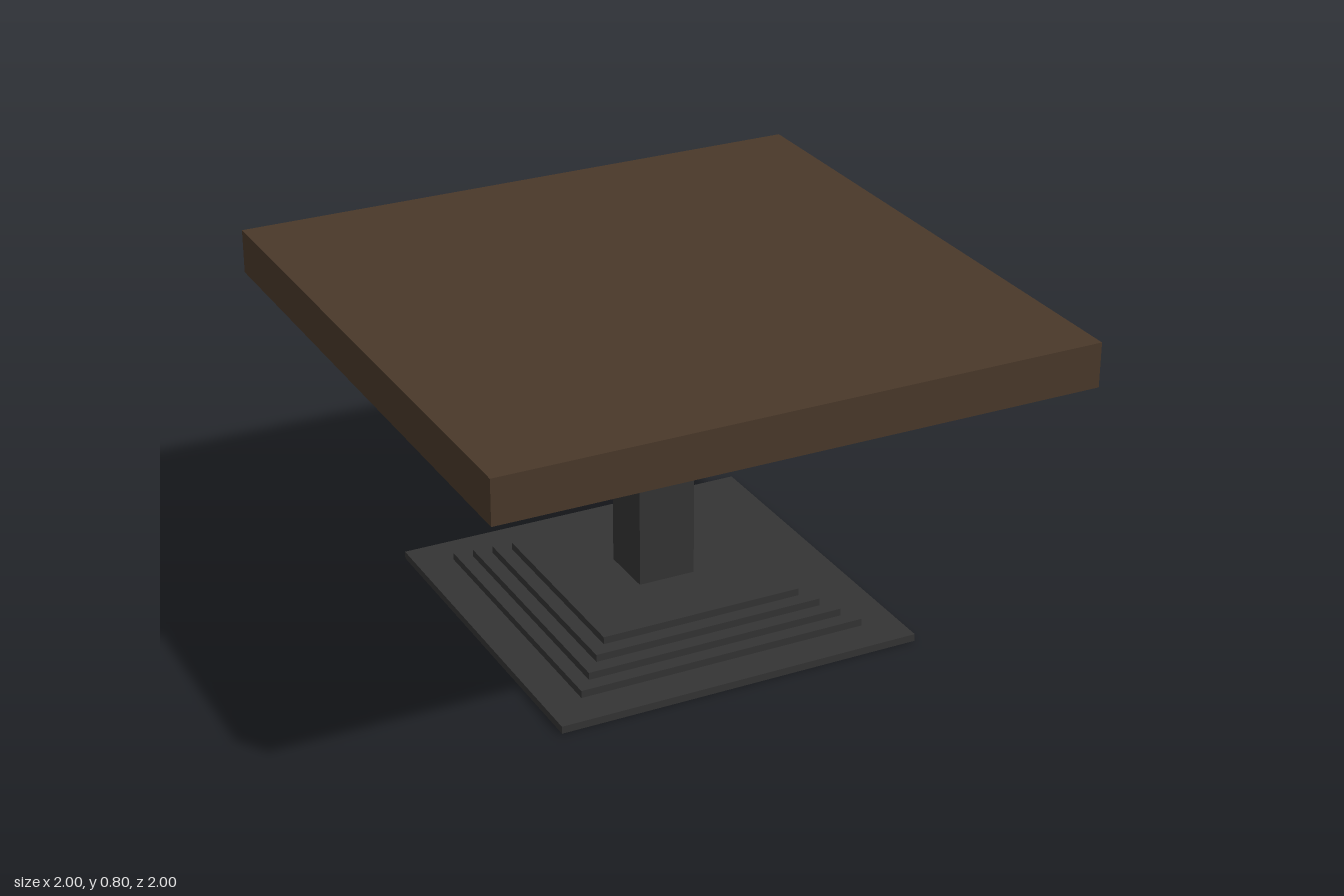
import * as THREE from 'three';

export function createModel() {
  const model = new THREE.Group();
  model.name = 'pedestalTable';

  const wood = new THREE.MeshStandardMaterial({ name: 'darkWood', color: 0x4a392a });
  const metal = new THREE.MeshStandardMaterial({ name: 'charcoalMetal', color: 0x343434 });

  // Square slab given by its half diagonal and its height range
  const slab = (name, halfDiagonal, bottom, top, material) => {
    const side = halfDiagonal * Math.SQRT2;
    const mesh = new THREE.Mesh(new THREE.BoxGeometry(side, top - bottom, side), material);
    mesh.position.y = (top + bottom) / 2;
    mesh.name = name;
    model.add(mesh);
  };

  // Stepped base: a wide foot plate and four shrinking steps
  const stepHeight = 0.0176;
  [0.625, 0.5, 0.45, 0.4, 0.35].forEach((r, i) =>
    slab(i ? `baseStep${i}` : 'footPlate', r, i * stepHeight, (i + 1) * stepHeight, metal));

  // Column and tabletop
  slab('column', 0.098, 5 * stepHeight, 0.692, metal);
  slab('tabletop', 1, 0.692, 0.797, wood);

  // The whole table stands cornerwise, slightly past the diagonal
  model.rotation.y = THREE.MathUtils.degToRad(46);
  const root = new THREE.Group();
  root.name = 'table';
  root.add(model);
  return root;
}
